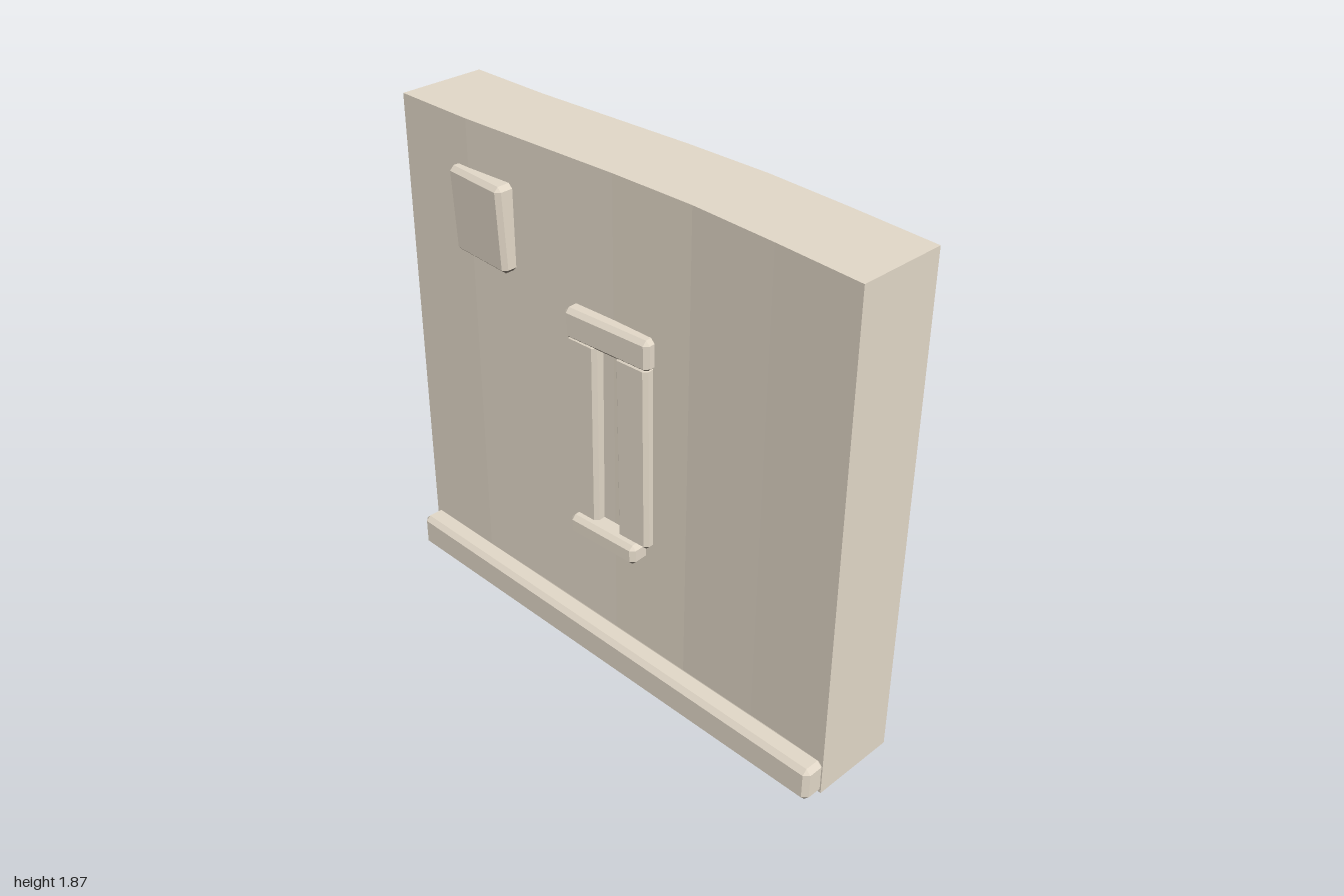
import * as THREE from 'three';
import { ConvexGeometry } from 'three/addons/geometries/ConvexGeometry.js';

const stone = new THREE.MeshStandardMaterial({ color: 0xe0d6c6 });
stone.name = 'pale stone';
const grime = new THREE.MeshStandardMaterial({ color: 0x857c70 });
grime.name = 'dark underside stone';

// Mesh in pale stone whose downward faces are dark stone
function stoneMesh(name, geometry) {
  const normal = geometry.attributes.normal;
  geometry.clearGroups();
  for (let i = 0; i < normal.count; i += 3) {
    geometry.addGroup(i, 3, normal.getY(i) < -0.5 ? 1 : 0);
  }
  const mesh = new THREE.Mesh(geometry, [stone, grime]);
  mesh.name = name;
  return mesh;
}

// Box with chamfered edges, centred on its origin
function chamferedBox(w, h, d, c) {
  const points = [];
  for (const sx of [-1, 1]) for (const sy of [-1, 1]) for (const sz of [-1, 1]) {
    const x = w / 2, y = h / 2, z = d / 2;
    points.push(
      new THREE.Vector3(sx * x, sy * (y - c), sz * (z - c)),
      new THREE.Vector3(sx * (x - c), sy * y, sz * (z - c)),
      new THREE.Vector3(sx * (x - c), sy * (y - c), sz * z));
  }
  return new ConvexGeometry(points);
}

// Stone block given by its x, y and z ranges, slightly turned by hand
function block(name, [x0, x1], [y0, y1], [z0, z1], chamfer, tilt = [0, 0, 0]) {
  const mesh = stoneMesh(name, chamferedBox(x1 - x0, y1 - y0, z1 - z0, chamfer));
  mesh.position.set((x0 + x1) / 2, (y0 + y1) / 2, (z0 + z1) / 2);
  mesh.rotation.set(...tilt);
  return mesh;
}

// Gently bowed wall: a six-segment plan extruded upwards
function wall() {
  const thickness = 0.335, height = 1.87;
  const back = [-0.188, -0.189, -0.205, -0.221, -0.226, -0.21, -0.188];
  const plan = back.map((z, i) => new THREE.Vector2(-1 + i / 3, -z));
  const front = plan.map(p => new THREE.Vector2(p.x, p.y - thickness)).reverse();
  const geometry = new THREE.ExtrudeGeometry(new THREE.Shape([...plan, ...front]),
    { depth: height, bevelEnabled: false });
  geometry.rotateX(-Math.PI / 2);
  return stoneMesh('wall', geometry);
}

export function createModel() {
  const model = new THREE.Group();
  model.name = 'stoneWall';
  model.add(wall());

  // Plinth along the foot and a single raised stone
  model.add(block('plinth', [-0.995, 0.998], [0.003, 0.135], [0.133, 0.224], 0.018));
  model.add(block('raisedStone', [-0.733, -0.453], [1.38, 1.698], [0.10, 0.183], 0.016, [0.045, -0.06, 0.01]));

  // Narrow window slit framed by four stones
  const slit = new THREE.Group();
  slit.name = 'windowSlit';
  slit.add(
    block('lintel', [-0.185, 0.185], [1.247, 1.363], [0.095, 0.16], 0.016, [0.02, 0.06, 0]),
    block('sill', [-0.155, 0.15], [0.48, 0.558], [0.09, 0.187], 0.016, [0, 0.05, 0]),
    block('rightJamb', [-0.182, -0.05], [0.545, 1.265], [0.085, 0.161], 0.014, [0.006, 0.05, -0.008]),
    block('leftJamb', [0.04, 0.18], [0.545, 1.265], [0.075, 0.149], 0.014, [0.006, 0.05, 0.005]));
  model.add(slit);
  return model;
}
